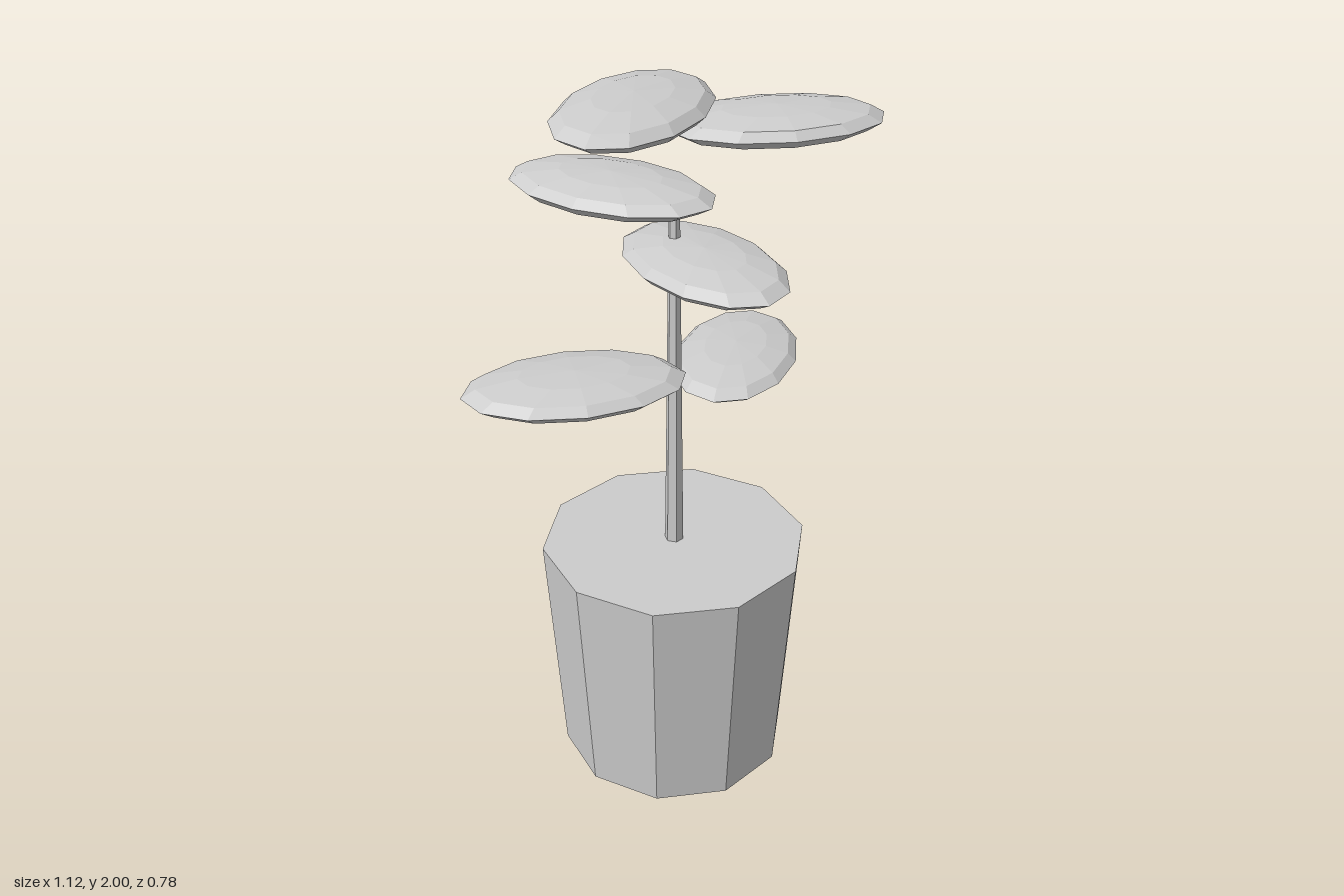
import * as THREE from 'three';

export function createModel() {
  const group = new THREE.Group();
  group.name = 'pottedPlant';
  const clay = new THREE.MeshStandardMaterial({ color: 0xcccccc });
  clay.name = 'pale grey';
  clay.flatShading = true;

  const add = (name, geometry, x, y, z, yaw = 0) => {
    const mesh = new THREE.Mesh(geometry, clay);
    mesh.name = name;
    mesh.position.set(x, y, z);
    mesh.rotation.y = THREE.MathUtils.degToRad(yaw);
    group.add(mesh);
  };

  // Ten-sided tapered pot, corners on the x axis
  add('pot', new THREE.CylinderGeometry(0.365, 0.32, 0.675, 10, 1, false, Math.PI / 2), -0.008, 0.3375, 0.01);

  // Thin tapered stem
  add('stem', new THREE.CylinderGeometry(0.014, 0.026, 1.02, 6, 1, false, Math.PI / 2), -0.008, 1.18, 0.01);

  // Flat oval leaves: x, y, z, yaw in degrees
  const leafGeometry = new THREE.SphereGeometry(1, 12, 6).scale(0.285, 0.0425, 0.17);
  const leaves = [
    [-0.21, 1.957, 0.082, 25],
    [0.278, 1.817, 0.082, -31],
    [-0.103, 1.692, -0.115, 104],
    [-0.012, 1.532, 0.115, 76],
    [-0.308, 1.248, -0.04, 149],
    [0.303, 1.106, -0.058, 31],
  ];
  leaves.forEach(([x, y, z, yaw], i) => add(`leaf${i + 1}`, leafGeometry, x, y, z, yaw));

  return group;
}
